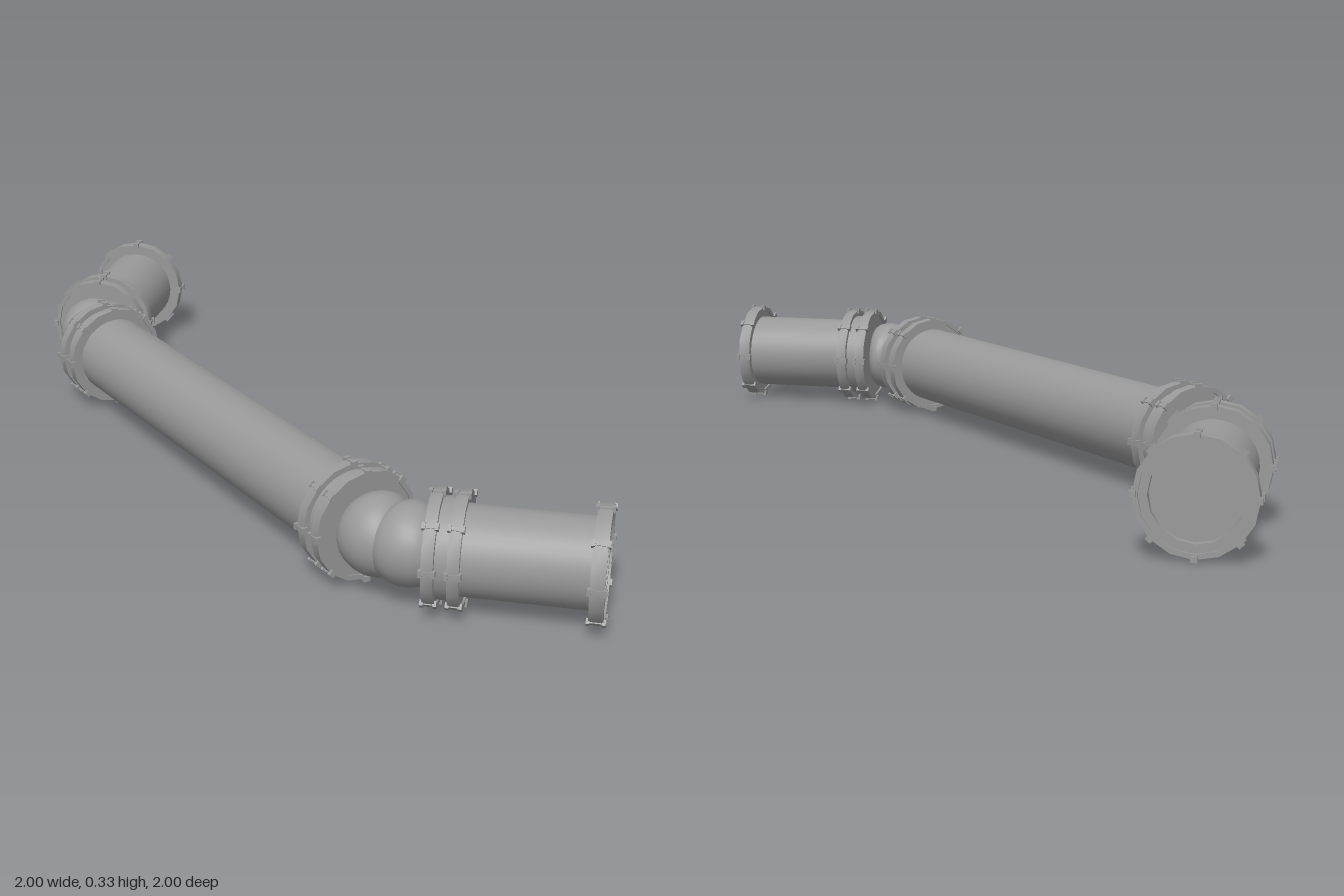
import * as THREE from 'three';
import { mergeGeometries, toCreasedNormals } from 'three/addons/utils/BufferGeometryUtils.js';
import { ParametricGeometry } from 'three/addons/geometries/ParametricGeometry.js';

const material = new THREE.MeshStandardMaterial({ color: 0x999999 });
const PIPE_R = 0.122, RIM_R = 0.158, AXIS_Y = 0.165;
const PAIR = 0.11;               // length of a bolted flange pair
const BEND_R = 0.241;            // elbow centreline radius
const START = new THREE.Vector3(-0.835, 0, -0.527); // where the elbow begins
const K = BEND_R * Math.SQRT1_2;
const BEND_END = new THREE.Vector3(START.x + BEND_R - K, 0, START.z + K);
// Distance from the bend end to the middle of the diagonal
const HALF_SPAN = -(BEND_END.x + BEND_END.z) / Math.SQRT2;

function mesh(name, geometry) {
  const m = new THREE.Mesh(geometry, material);
  m.name = name;
  return m;
}

// Surface of revolution around z from [radius, z] points
function turned(points, sides) {
  const g = new THREE.LatheGeometry(points.map(([r, z]) => new THREE.Vector2(r, z)), sides);
  g.rotateX(Math.PI / 2);
  return toCreasedNormals(g, 0.6);
}

// Pipe running from z0 to z1, closed at both ends
function pipe(name, z0, z1) {
  return mesh(name, turned([[0, z0], [PIPE_R, z0], [PIPE_R, z1], [0, z1]], 32));
}

// Flange centred on z = 0: a rim on a thinner web, with eight wider clips
function flange(name, width, bore) {
  const g = new THREE.Group();
  g.name = name;
  const h = width / 2, rim = h - 0.006, web = rim - 0.006, lip = 0.144;
  g.add(mesh('flangeRing', turned([
    [bore, -web], [lip, -web], [lip, -rim], [RIM_R, -rim],
    [RIM_R, rim], [lip, rim], [lip, web], [bore, web], [bore, -web],
  ], 16)));
  const parts = [];
  for (let i = 0; i < 8; i++) {
    const bar = new THREE.BoxGeometry(0.01, 0.01, width);
    bar.translate(0, RIM_R - 0.003, 0);
    const clip = [bar];
    for (const s of [-1, 1]) {
      const head = new THREE.BoxGeometry(0.018, 0.016, 0.01);
      head.translate(0, RIM_R - 0.002, s * (h - 0.005));
      clip.push(head);
    }
    for (const c of clip) parts.push(c.rotateZ(i * Math.PI / 4));
  }
  g.add(mesh('flangeClips', mergeGeometries(parts)));
  return g;
}

// Two flanges with a gasket between them, from z = 0 to z = PAIR
function flangePair(name) {
  const g = new THREE.Group();
  g.name = name;
  const w = 0.044;
  for (const z of [w / 2, PAIR - w / 2]) {
    const f = flange('flange', w, 0.09);
    f.position.z = z;
    g.add(f);
  }
  g.add(mesh('gasket', turned([[0, 0.02], [0.136, 0.02], [0.136, PAIR - 0.02], [0, PAIR - 0.02]], 32)));
  return g;
}

// 45 degree bend made of two barrel-shaped lobes
function elbow() {
  const g = new ParametricGeometry((u, v, p) => {
    const a = u * Math.PI / 4, b = v * Math.PI * 2;
    const r = 0.101 + 0.015 * Math.pow(Math.abs(Math.sin(u * Math.PI * 2)), 0.7);
    const out = BEND_R + r * Math.cos(b);
    p.set(BEND_R - out * Math.cos(a), r * Math.sin(b), out * Math.sin(a));
  }, 24, 32);
  return mesh('elbow', toCreasedNormals(g, 0.6));
}

// End pipe, elbow and the joint that leads into the diagonal pipe
function endRun() {
  const run = new THREE.Group();
  run.name = 'endRun';

  const inlet = new THREE.Group();
  inlet.name = 'endSection';
  inlet.position.x = START.x;
  const mouth = flange('endFlange', 0.05, 0.12);
  mouth.position.z = -0.975;
  const joint = flangePair('endJoint');
  joint.position.z = START.z - PAIR;
  inlet.add(pipe('endPipe', -0.968, START.z - PAIR / 2), mouth, joint);

  const bend = elbow();
  bend.position.copy(START);

  const diagonalJoint = flangePair('diagonalJoint');
  diagonalJoint.position.copy(BEND_END);
  diagonalJoint.rotation.y = Math.PI / 4;

  run.add(inlet, bend, diagonalJoint);
  return run;
}

export function createModel() {
  const model = new THREE.Group();
  model.name = 'pipeRun';
  const first = endRun(), second = endRun();
  // The second end is the first turned over about the horizontal cross axis
  second.quaternion.setFromAxisAngle(new THREE.Vector3(1, 0, -1).normalize(), Math.PI);

  // One long pipe joins the two ends
  const diagonal = pipe('diagonalPipe', PAIR / 2, 2 * HALF_SPAN - PAIR / 2);
  diagonal.position.copy(BEND_END);
  diagonal.rotation.y = Math.PI / 4;

  for (const part of [first, second, diagonal]) {
    part.position.y = AXIS_Y;
    model.add(part);
  }
  return model;
}
